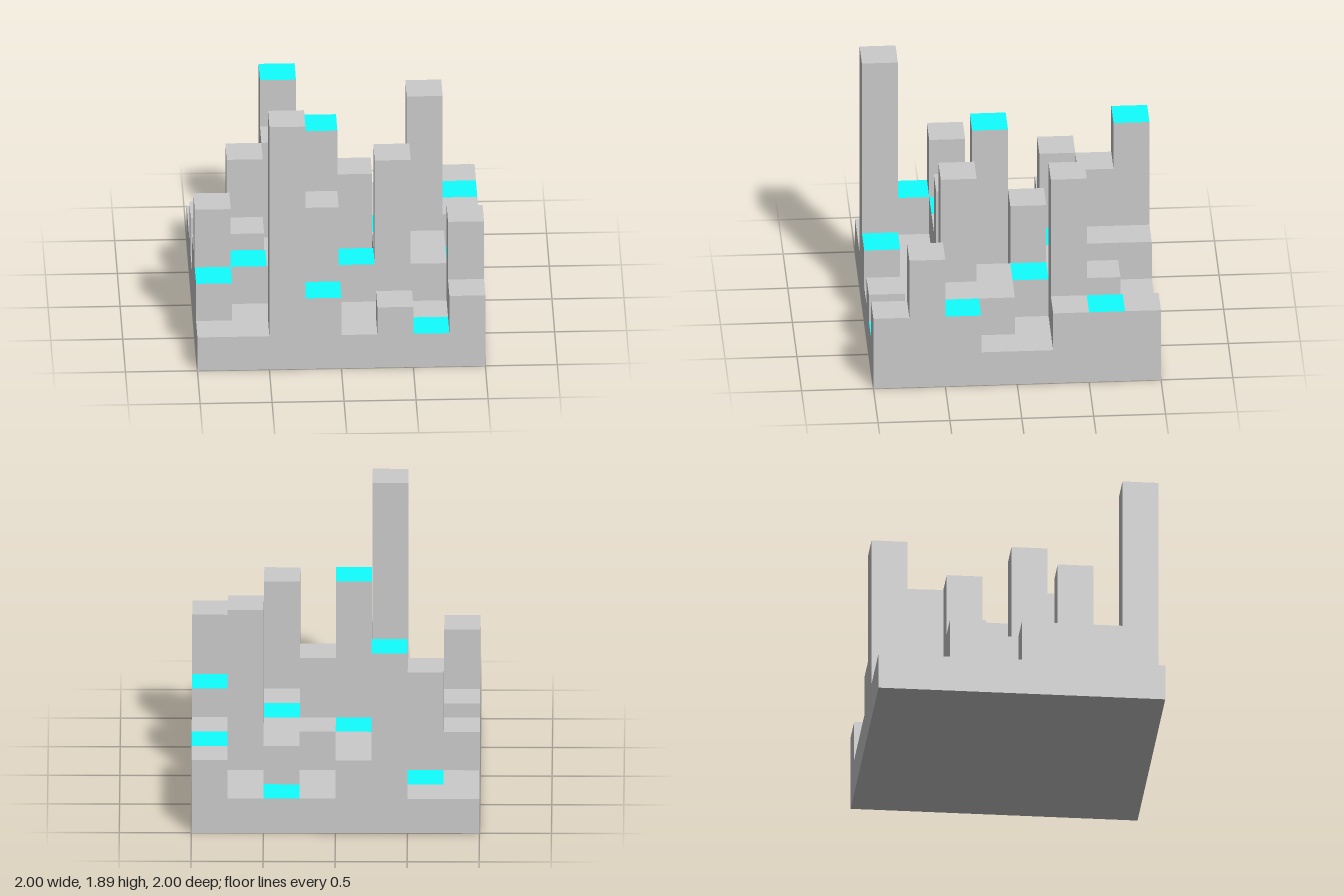
import * as THREE from 'three';
import { mergeGeometries } from 'three/addons/utils/BufferGeometryUtils.js';

const CELL = 0.25, N = 8;

// The block heights that occur, by letter
const LEVEL = { a: 0.26, b: 0.47, c: 0.55, d: 1.0, e: 1.36, f: 1.47, g: 1.89 };

// Height map, back row first, each row from -x to +x
const ROWS = [
  'aaecaaac',
  'aadcacac',
  'cdacccfc',
  'acaadcaa',
  'caafacca',
  'dccdcecc',
  'caaaaaad',
  'aagcabac',
];

// Coloured roof tiles as row,column
const COLOURED = new Set(['0,2', '0,5', '1,1', '1,7', '2,3', '3,5', '4,3',
  '5,1', '5,4', '5,7', '6,0', '7,3', '7,6']);

// Height of a cell, zero outside the board
const heightAt = (r, c) =>
  r < 0 || c < 0 || r >= N || c >= N ? 0 : LEVEL[ROWS[r][c]];

// Wall directions: row step, column step, turn about y
const SIDES = [
  [1, 0, 0],
  [0, 1, Math.PI / 2],
  [-1, 0, Math.PI],
  [0, -1, -Math.PI / 2],
];

export function createModel() {
  const model = new THREE.Group();
  model.name = 'blockCity';
  const grey = new THREE.MeshStandardMaterial({ color: 0xcccccc });
  const cyan = new THREE.MeshStandardMaterial({ color: 0x10ffff });

  const add = (parent, name, geometry, material) => {
    const mesh = new THREE.Mesh(geometry, material);
    mesh.name = name;
    parent.add(mesh);
    return mesh;
  };

  // Underside of the board
  add(model, 'underside', new THREE.PlaneGeometry(2, 2).rotateX(Math.PI / 2), grey);

  for (let r = 0; r < N; r++) {
    for (let c = 0; c < N; c++) {
      const h = heightAt(r, c);
      const block = new THREE.Group();
      block.name = `block_${r}_${c}`;
      block.position.set((c + 0.5) * CELL - 1, 0, (r + 0.5) * CELL - 1);
      model.add(block);

      // Roof tile
      const roof = new THREE.PlaneGeometry(CELL, CELL).rotateX(-Math.PI / 2).translate(0, h, 0);
      const coloured = COLOURED.has(`${r},${c}`);
      add(block, coloured ? 'colouredRoof' : 'roof', roof, coloured ? cyan : grey);

      // Walls standing above lower neighbours
      const walls = [];
      for (const [dr, dc, turn] of SIDES) {
        const low = heightAt(r + dr, c + dc);
        if (low >= h) continue;
        walls.push(new THREE.PlaneGeometry(CELL, h - low)
          .translate(0, (h + low) / 2, CELL / 2).rotateY(turn));
      }
      if (walls.length) add(block, 'walls', mergeGeometries(walls), grey);
    }
  }
  return model;
}
